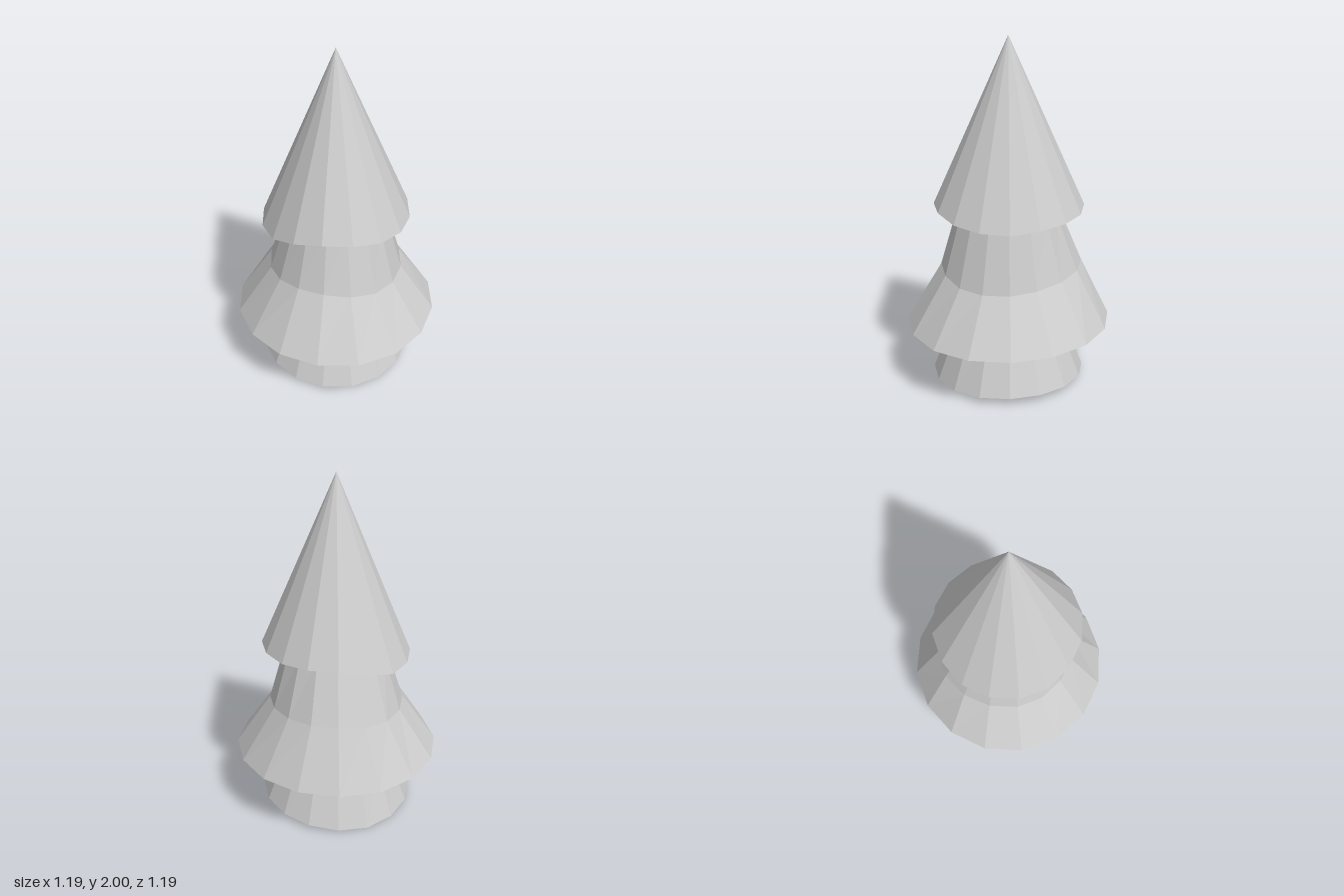
import * as THREE from 'three';

const SIDES = 16;

// A ring of points, starting at +x and turning towards +z; heights may vary per side.
function ring(radius, heights, backShift = 0) {
  return Array.from({ length: SIDES }, (_, i) => {
    const a = (i / SIDES) * Math.PI * 2;
    const y = Array.isArray(heights) ? heights[i] : heights;
    const z = radius * Math.sin(a);
    return new THREE.Vector3(radius * Math.cos(a), y, z + (z < 0 ? backShift * Math.sin(a) : 0));
  });
}

// Faceted skin through rings listed from bottom to top, with optional closed bottom.
function loft(rings, closeBottom = false) {
  const pos = [];
  const tri = (...pts) => pts.forEach((p) => pos.push(p.x, p.y, p.z));
  for (let r = 0; r < rings.length - 1; r++) {
    for (let i = 0; i < SIDES; i++) {
      const j = (i + 1) % SIDES;
      const [a, b, c, d] = [rings[r][i], rings[r][j], rings[r + 1][j], rings[r + 1][i]];
      tri(a, d, b);
      if (c.distanceTo(d) > 1e-6) tri(b, d, c);
    }
  }
  if (closeBottom) {
    const centre = new THREE.Vector3();
    rings[0].forEach((p) => centre.addScaledVector(p, 1 / SIDES));
    for (let i = 0; i < SIDES; i++) tri(centre, rings[0][i], rings[0][(i + 1) % SIDES]);
  }
  const geo = new THREE.BufferGeometry();
  geo.setAttribute('position', new THREE.Float32BufferAttribute(pos, 3));
  geo.computeVertexNormals();
  return geo;
}

export function createModel() {
  const tree = new THREE.Group();
  tree.name = 'coneTree';
  const grey = new THREE.MeshStandardMaterial({ color: 0xcccccc });
  grey.name = 'light grey';
  grey.flatShading = true;

  // Uneven rim heights
  const baseY = [.048, .045, .036, .026, .02, .022, .03, .037, .03, .017, .006, 0, .01, .025, .035, .043];
  const skirtY = [.36, .353, .345, .338, .34, .345, .35, .353, .355, .352, .352, .355, .36, .365, .365, .363];
  const foldY = [.66, .645, .64, .645, .67, .69, .69, .67, .65, .65, .66, .68, .7, .7, .69, .675];
  const topY = [1.02, 1.005, 1.01, 1.025, 1.05, 1.057, 1.025, .975, .96, .96, .965, 1.01, 1.045, 1.045, 1.035, 1.03];

  // Shared joints where each tier tucks under the next
  const lowJoint = ring(.32, .35);
  const highJoint = ring(.29, topY.map((y) => y * .6 + .4));

  const add = (name, geo) => {
    const mesh = new THREE.Mesh(geo, grey);
    mesh.name = name;
    tree.add(mesh);
  };
  add('lowerTier', loft([ring(.447, baseY), lowJoint], true));
  add('middleTier', loft([lowJoint, ring(.594, skirtY), ring(.39, foldY, .045), highJoint]));
  add('topTier', loft([highJoint, ring(.425, topY, .012), ring(0, 2)]));
  return tree;
}
